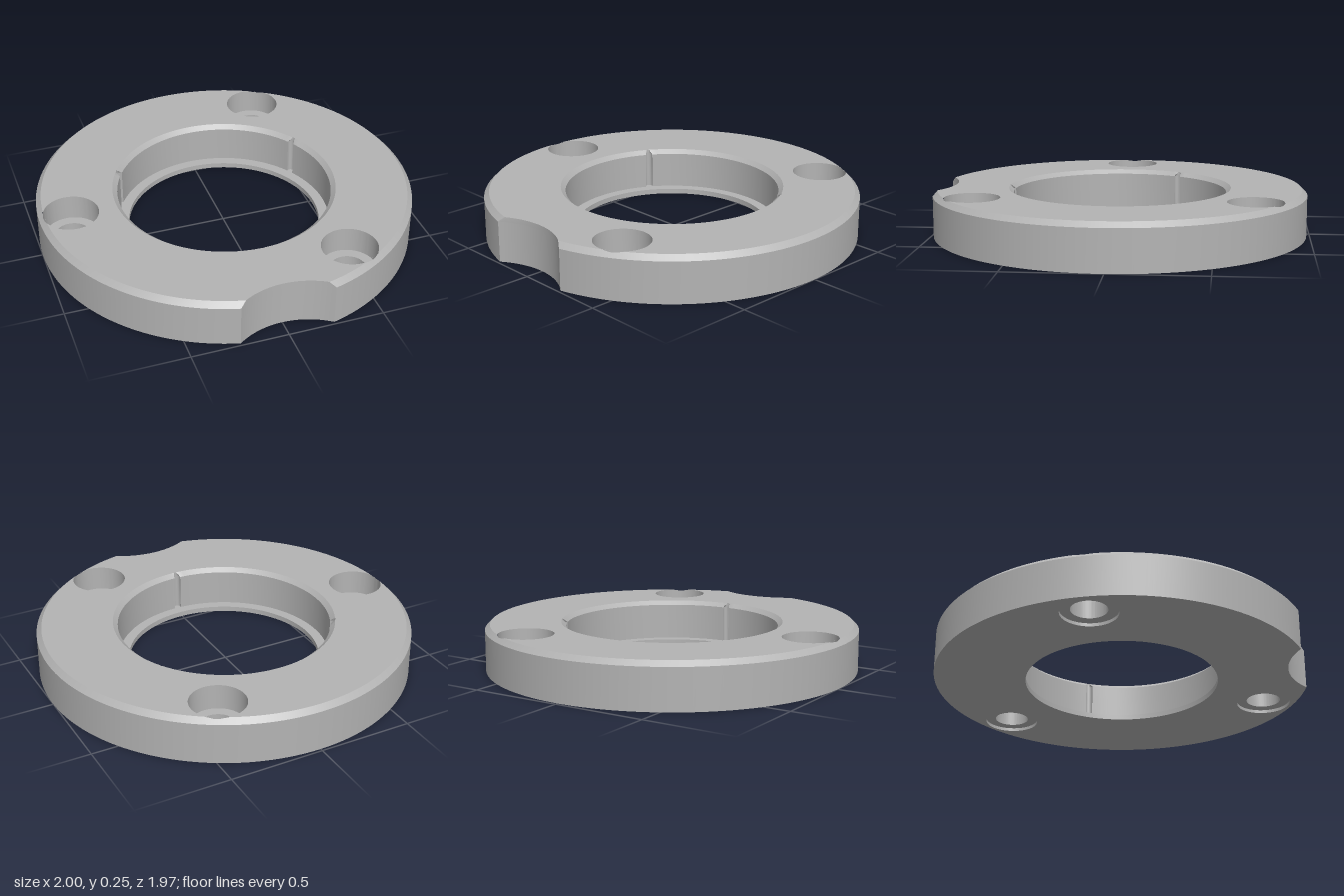
import * as THREE from 'three';
import { toCreasedNormals } from 'three/addons/utils/BufferGeometryUtils.js';

const H = 0.245, CHAMFER = 0.027, TOP_R = 1 - CHAMFER;      // disc
const LEDGE_Y = 0.028, LIP_R = 0.515, BORE_R = 0.57;        // central bore
const BOLT_D = 0.835, BOLT_R = 0.092, SINK_R = 0.145;       // bolt holes
const SINK_Y = 0.11, RECESS_Y = 0.017;
const NOTCH_D = 1.3, NOTCH_R = 0.41;                        // scoop in the rim
const GROOVE_D = 0.577, GROOVE_R = 0.02;                    // grooves in the bore
const boltAngles = [Math.PI / 6, Math.PI * 5 / 6, Math.PI * 3 / 2];

// All contours run anticlockwise seen from above; angle 0 faces +z.
const polar = (r, t, y) => new THREE.Vector3(r * Math.sin(t), y, r * Math.cos(t));

function circle(r, y, t = 0, d = 0, n = 96) {
  const c = polar(d, t, 0);
  return Array.from({ length: n }, (_, i) => polar(r, i / n * Math.PI * 2, y).add(c));
}

// Rim outline with the scooped notch at the front
function rim(R, y) {
  const z = (R * R + NOTCH_D ** 2 - NOTCH_R ** 2) / (2 * NOTCH_D);
  const a = Math.acos(z / R), phi = Math.asin(R * Math.sin(a) / NOTCH_R);
  const pts = [], n = 240, m = 24;
  for (let i = 0; i <= n; i++) pts.push(polar(R, a + (2 * Math.PI - 2 * a) * i / n, y));
  for (let i = 1; i < m; i++) {
    const f = phi * (2 * i / m - 1);
    pts.push(new THREE.Vector3(NOTCH_R * Math.sin(f), y, NOTCH_D - NOTCH_R * Math.cos(f)));
  }
  return pts;
}

// Bore outline with three small round grooves
function bore(R, y) {
  const pts = [], n = 40, m = 10;
  const a = Math.acos((R * R + GROOVE_D ** 2 - GROOVE_R ** 2) / (2 * R * GROOVE_D));
  const phi = Math.acos((R * R - GROOVE_D ** 2 - GROOVE_R ** 2) / (2 * GROOVE_D * GROOVE_R));
  for (let k = 0; k < 3; k++) {
    const t = k * Math.PI * 2 / 3, c = polar(GROOVE_D, t, 0);
    for (let i = 0; i < m; i++) pts.push(polar(GROOVE_R, t + phi * (2 * i / m - 1), y).add(c));
    for (let i = 0; i < n; i++) pts.push(polar(R, t + a + (Math.PI * 2 / 3 - 2 * a) * i / n, y));
  }
  return pts;
}

function geometry(points) {
  const g = new THREE.BufferGeometry().setFromPoints(points);
  g.computeVertexNormals();
  return toCreasedNormals(g, 0.5);
}

// Wall joining two contours; inward turns it to face the hole
function wall(lower, upper, inward = false) {
  const out = [];
  lower.forEach((a, i) => {
    const j = (i + 1) % lower.length;
    const b = lower[j], c = upper[j], d = upper[i];
    out.push(...(inward ? [a, c, b, a, d, c] : [a, b, c, a, c, d]));
  });
  return geometry(out);
}

// Flat face with holes, facing up or down
function cap(outline, holes, up) {
  const flat = loop => loop.map(p => new THREE.Vector2(p.x, -p.z));
  const all = [outline, ...holes].flat(), out = [];
  for (const [i, j, k] of THREE.ShapeUtils.triangulateShape(flat(outline), holes.map(flat))) {
    const [a, b, c] = [all[i], all[j], all[k]];
    const ny = (b.z - a.z) * (c.x - a.x) - (b.x - a.x) * (c.z - a.z);
    out.push(...((ny > 0) === up ? [a, b, c] : [a, c, b]));
  }
  return geometry(out);
}

export function createModel() {
  const model = new THREE.Group();
  const ring = new THREE.Group();
  ring.name = 'flangeRing';
  ring.position.z = 0.015;
  model.add(ring);
  const metal = new THREE.MeshStandardMaterial({ color: 0xb3b3b3 });
  metal.name = 'grey metal';
  const add = (name, geo) => {
    const mesh = new THREE.Mesh(geo, metal);
    mesh.name = name;
    ring.add(mesh);
  };
  const sinks = y => boltAngles.map(t => circle(SINK_R, y, t, BOLT_D));
  const bolts = y => boltAngles.map(t => circle(BOLT_R, y, t, BOLT_D));

  // Rim and its chamfer, which dips where the counterbores break into it
  add('rimWall', wall(rim(1, 0), rim(1, H - CHAMFER)));
  const chamferTop = rim(TOP_R, H);
  for (const p of chamferTop) {
    const t = Math.atan2(p.x, p.z), r = Math.hypot(p.x, p.z);
    if (r < TOP_R - 1e-6) continue;
    for (const b of boltAngles) {
      const s = SINK_R ** 2 - (BOLT_D * Math.sin(t - b)) ** 2;
      if (s < 0 || Math.cos(t - b) < 0) continue;
      const reach = BOLT_D * Math.cos(t - b) + Math.sqrt(s);
      if (reach > TOP_R) p.copy(polar(reach, t, H - (reach - TOP_R)));
    }
  }
  add('rimChamfer', wall(rim(1, H - CHAMFER), chamferTop));

  // Top and bottom faces
  const topSinks = sinks(H).map(loop => loop.map(p => {
    const r = Math.hypot(p.x, p.z), k = Math.min(1, (TOP_R - 0.0004) / r);
    return new THREE.Vector3(p.x * k, H, p.z * k);
  }));
  add('topFace', cap(rim(TOP_R, H), [bore(0.595, H), ...topSinks], true));
  add('bottomFace', cap(rim(1, 0), [circle(LIP_R, 0), ...sinks(0)], false));

  // Central bore, with a lip at the bottom
  add('boreChamfer', wall(bore(BORE_R, H - 0.022), bore(0.595, H), true));
  add('boreWall', wall(bore(BORE_R, LEDGE_Y), bore(BORE_R, H - 0.022), true));
  add('boreLedge', cap(bore(BORE_R, LEDGE_Y), [circle(LIP_R, LEDGE_Y)], true));
  add('lipWall', wall(circle(LIP_R, 0), circle(LIP_R, LEDGE_Y), true));

  // Bolt holes: deep counterbore above, shallow recess below
  boltAngles.forEach((_, i) => {
    const edge = sinks(H)[i];
    for (const p of edge) p.y = H - Math.max(0, Math.hypot(p.x, p.z) - TOP_R);
    add('counterboreWall', wall(sinks(SINK_Y)[i], edge, true));
    add('counterboreFloor', cap(sinks(SINK_Y)[i], [bolts(SINK_Y)[i]], true));
    add('boltHoleWall', wall(bolts(RECESS_Y)[i], bolts(SINK_Y)[i], true));
    add('recessFace', cap(sinks(RECESS_Y)[i], [bolts(RECESS_Y)[i]], false));
    add('recessWall', wall(sinks(0)[i], sinks(RECESS_Y)[i], true));
  });
  return model;
}
